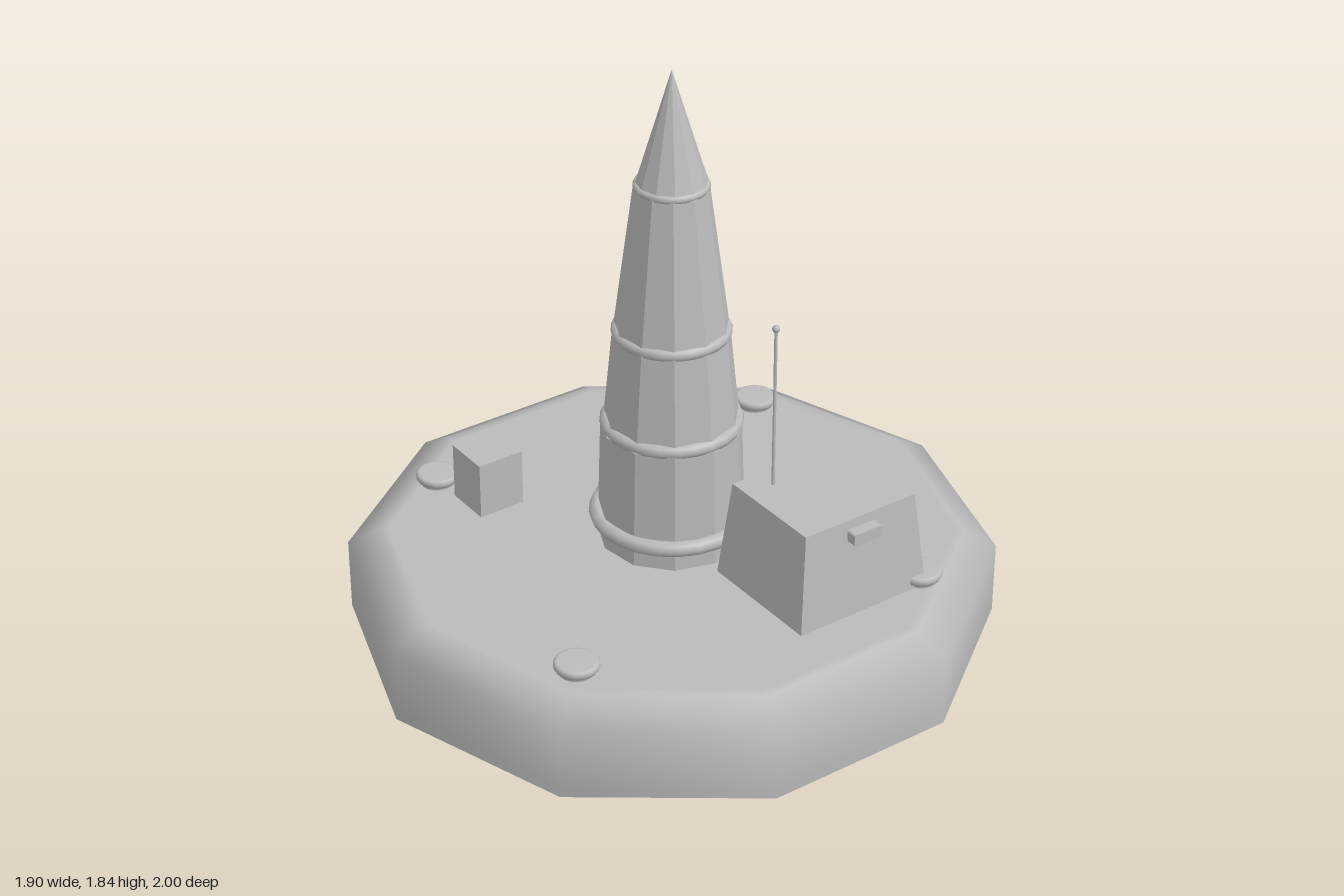
import * as THREE from 'three';

export function createModel() {
  const model = new THREE.Group();
  const grey = new THREE.MeshStandardMaterial({ color: 0xbbbbbb });
  grey.name = 'plain grey';
  const faceted = grey.clone();
  faceted.flatShading = true;

  const add = (name, geometry, x = 0, y = 0, z = 0, material = grey) => {
    const mesh = new THREE.Mesh(geometry, material);
    mesh.name = name;
    mesh.position.set(x, y, z);
    model.add(mesh);
    return mesh;
  };
  const lathe = (points, sides) =>
    new THREE.LatheGeometry(points.map(([r, y]) => new THREE.Vector2(r, y)), sides);
  const DECK = 0.29;

  // Ten-sided floating base with a softened rim
  add('base', lathe([[1, 0], [1, 0.03], [1, 0.235], [0.9, DECK], [0.87, DECK], [0, DECK]], 10));
  add('baseUnderside', new THREE.CircleGeometry(1, 10).rotateZ(Math.PI / 2).rotateX(Math.PI / 2));

  // Tapered tower sections: [bottom radius, top radius, bottom y, top y]
  [[0.229, 0.217, DECK, 0.68], [0.208, 0.177, 0.68, 1], [0.175, 0.112, 1, 1.475]]
    .forEach(([r0, r1, y0, y1], i) => {
      const geometry = new THREE.CylinderGeometry(r1, r0, y1 - y0, 11).rotateY(Math.PI / 2);
      add('towerSection' + (i + 1), geometry, 0, (y0 + y1) / 2, 0, faceted);
    });
  add('towerTip', new THREE.ConeGeometry(0.106, 0.35, 12), 0, 1.665, 0, faceted);

  // Rings round the tower joints: [radius, tube, y]
  [[0.23, 0.025, 0.37], [0.197, 0.022, 0.692], [0.162, 0.02, 1.002], [0.101, 0.013, 1.478]]
    .forEach(([r, tube, y], i) =>
      add('towerRing' + (i + 1), new THREE.TorusGeometry(r, tube, 8, 24).rotateX(Math.PI / 2), 0, y));

  // Equipment cabin with walls leaning inward
  const cabin = new THREE.BoxGeometry(0.415, 0.315, 0.467);
  const p = cabin.attributes.position;
  for (let i = 0; i < p.count; i++) {
    if (p.getY(i) > 0) p.setXYZ(i, p.getX(i) * 0.855, p.getY(i), p.getZ(i) * 0.865);
  }
  cabin.computeVertexNormals();
  add('cabin', cabin, 0.473, DECK + 0.1575, -0.213);

  // Side lamps, with rounded ends
  const lampShape = new THREE.Shape();
  const w = 0.052, h = 0.02, c = 0.009;
  lampShape.moveTo(-w + c, -h);
  lampShape.lineTo(w - c, -h);
  lampShape.quadraticCurveTo(w, -h, w, -h + c);
  lampShape.lineTo(w, h - c);
  lampShape.quadraticCurveTo(w, h, w - c, h);
  lampShape.lineTo(-w + c, h);
  lampShape.quadraticCurveTo(-w, h, -w, h - c);
  lampShape.lineTo(-w, -h + c);
  lampShape.quadraticCurveTo(-w, -h, -w + c, -h);
  const lamp = new THREE.ExtrudeGeometry(lampShape, { depth: 0.037, bevelEnabled: false, curveSegments: 3 })
    .translate(0, 0, -0.0185).rotateY(Math.PI / 2);
  add('rightLamp', lamp, 0.277, 0.555, -0.213);
  add('leftLamp', lamp, 0.671, 0.555, -0.213);

  // Small handle behind the cabin
  add('handle', new THREE.BoxGeometry(0.05, 0.025, 0.014), 0.575, 0.503, -0.454);

  // Antenna on the cabin roof
  add('antennaRod', new THREE.CylinderGeometry(0.005, 0.005, 0.53, 8), 0.367, 0.868, -0.107);
  add('antennaBall', new THREE.SphereGeometry(0.012, 10, 8), 0.367, 1.133, -0.107);

  // Storage box
  add('storageBox', new THREE.BoxGeometry(0.155, 0.185, 0.155), -0.473, DECK + 0.0925, 0.365);

  // Mooring caps: a short stem under a rounded disc
  const cap = lathe([[0.053, 0], [0.053, 0.01], [0.064, 0.014], [0.068, 0.022], [0.068, 0.032],
    [0.063, 0.038], [0.056, 0.039], [0, 0.039]], 20);
  [[-0.448, -0.655], [0.65, -0.45], [-0.65, 0.443], [0.445, 0.65]]
    .forEach(([x, z], i) => add('mooringCap' + (i + 1), cap, x, DECK, z));

  return model;
}
